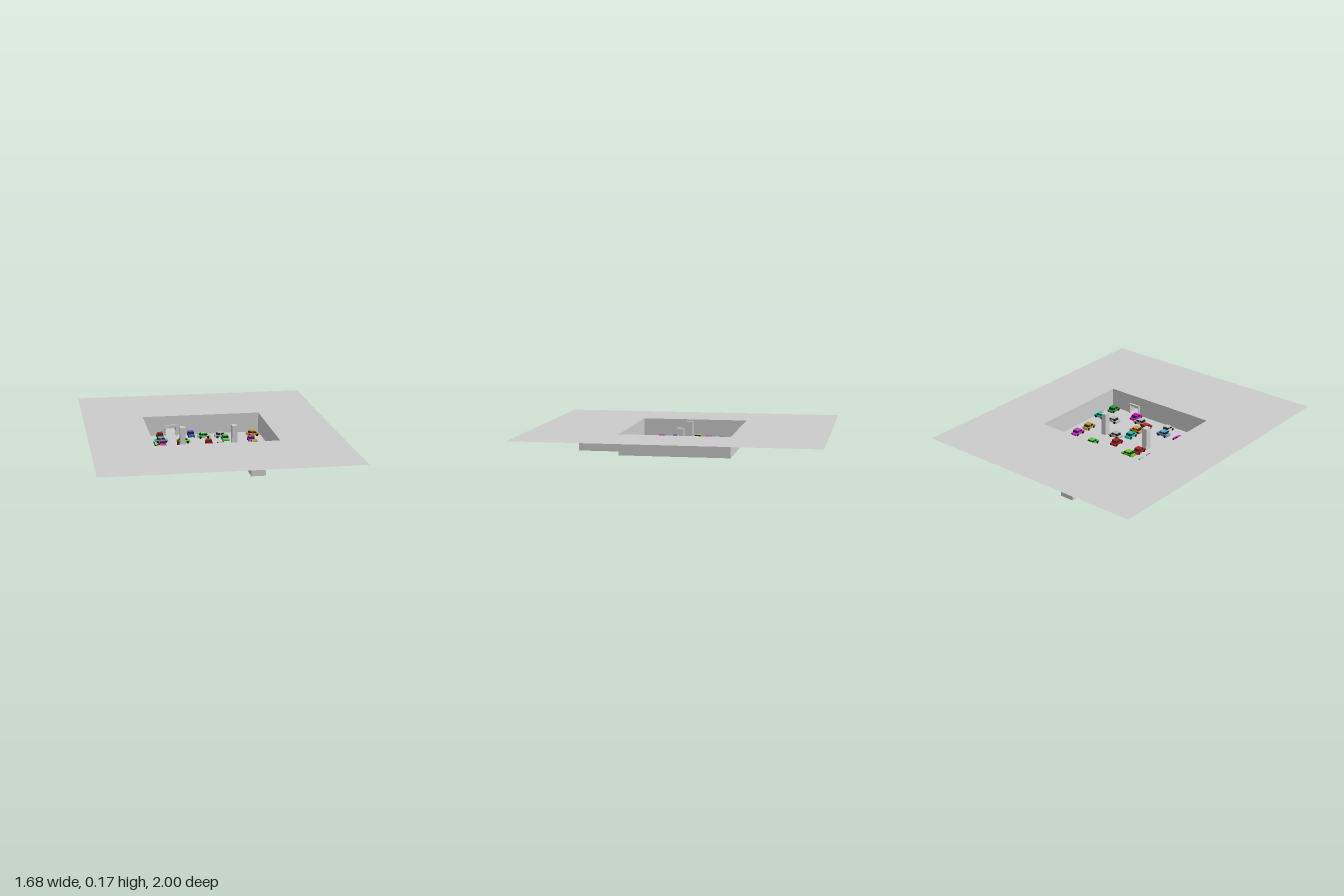
import * as THREE from 'three';

const FLOOR = 0.01, GROUND = 0.15;
const X0 = -0.42, X1 = 0.412, Z0 = -0.373, Z1 = 0.37;
const grey = new THREE.MeshStandardMaterial({ color: 0xcccccc, side: THREE.DoubleSide, flatShading: true });
const paint = (color) => new THREE.MeshStandardMaterial({ color, flatShading: true });
const glass = paint(0x1c2228), rubber = paint(0x181818);

function add(parent, name, geometry, material, x = 0, y = 0, z = 0) {
  const mesh = new THREE.Mesh(geometry, material);
  mesh.name = name;
  mesh.position.set(x, y, z);
  parent.add(mesh);
  return mesh;
}

const box = (w, h, d) => new THREE.BoxGeometry(w, h, d);

function rect(Type, x0, y0, x1, y1) {
  return new Type().setFromPoints([[x0, y0], [x1, y0], [x1, y1], [x0, y1]].map(p => new THREE.Vector2(...p)));
}

// Flat rectangle with a rectangular opening
function panel(outer, hole) {
  const shape = rect(THREE.Shape, ...outer);
  if (hole) shape.holes.push(rect(THREE.Path, ...hole));
  return new THREE.ShapeGeometry(shape);
}

// Sheet whose height grows along z, closed at the far end
function tunnelGeometry(width, length, nearHeight, farHeight) {
  const w = width / 2, points = [];
  for (const [z, h] of [[0, nearHeight], [length, farHeight]]) {
    points.push(-w, 0, z, w, 0, z, w, h, z, -w, h, z);
  }
  const index = [4, 5, 6, 4, 6, 7];
  for (let i = 0; i < 4; i++) {
    const j = (i + 1) % 4;
    index.push(i, j, j + 4, i, j + 4, i + 4);
  }
  const geometry = new THREE.BufferGeometry();
  geometry.setAttribute('position', new THREE.Float32BufferAttribute(points, 3));
  geometry.setIndex(index);
  geometry.computeVertexNormals();
  return geometry;
}

// Side profile (z, y) extruded across the car's width
function sideExtrude(profile, width) {
  const shape = new THREE.Shape(profile.map(p => new THREE.Vector2(...p)));
  const geometry = new THREE.ExtrudeGeometry(shape, { depth: width, bevelEnabled: false });
  geometry.translate(0, 0, -width / 2);
  geometry.rotateY(-Math.PI / 2);
  return geometry;
}

const bodyGeometry = sideExtrude([[-0.044, 0.006], [0.044, 0.006], [0.046, 0.013], [0.043, 0.02],
  [0.026, 0.023], [-0.03, 0.023], [-0.044, 0.021], [-0.046, 0.013]], 0.043);
const cabinGeometry = sideExtrude([[-0.033, 0.022], [0.027, 0.022], [0.015, 0.036], [-0.023, 0.036]], 0.038);
const roofGeometry = box(0.039, 0.003, 0.039);
const pillarGeometry = box(0.04, 0.015, 0.005);
const wheelGeometry = new THREE.CylinderGeometry(0.009, 0.009, 0.008, 10).rotateZ(Math.PI / 2);

function car(color, x, z, turned) {
  const group = new THREE.Group(), material = paint(color);
  group.name = 'car';
  add(group, 'carBody', bodyGeometry, material);
  add(group, 'carWindows', cabinGeometry, glass);
  add(group, 'carRoof', roofGeometry, material, 0, 0.037, -0.004);
  add(group, 'doorPillar', pillarGeometry, material, 0, 0.029, -0.004);
  for (const sx of [-1, 1]) {
    for (const sz of [-1, 1]) add(group, 'wheel', wheelGeometry, rubber, sx * 0.02, 0.009, sz * 0.027);
  }
  group.position.set(x, FLOOR, z);
  group.rotation.y = turned ? Math.PI / 2 : 0;
  return group;
}

// Doorway frame and sloping tunnel; local +z leads out of the pit
function entrance(name, length) {
  const group = new THREE.Group();
  group.name = name;
  add(group, 'tunnel', tunnelGeometry(0.094, length, 0.05, 0.077), grey);
  for (const s of [-1, 1]) add(group, 'doorJamb', box(0.008, 0.07, 0.014), grey, s * 0.04, 0.035, -0.007);
  add(group, 'doorLintel', box(0.088, 0.012, 0.014), grey, 0, 0.07, -0.007);
  return group;
}

export function createModel() {
  const model = new THREE.Group();
  model.name = 'sunkenCarPark';

  // Surrounding ground and pit floor
  const ground = add(model, 'ground', panel([-0.84, -1, 0.84, 1], [X0, -Z1, X1, -Z0]), grey, 0, GROUND, 0);
  ground.rotation.x = -Math.PI / 2;
  const floor = add(model, 'floor', panel([X0, -Z1, X1, -Z0]), grey, 0, FLOOR, 0);
  floor.rotation.x = -Math.PI / 2;

  // Pit walls, the front and back ones with a doorway
  const frontDoor = 0.207, backDoor = -0.222;
  for (const [name, z, door] of [['frontWall', Z1, frontDoor], ['backWall', Z0, backDoor]]) {
    const hole = [door - 0.038, FLOOR + 0.0005, door + 0.038, FLOOR + 0.05];
    add(model, name, panel([X0, FLOOR, X1, GROUND], hole), grey, 0, 0, z);
  }
  for (const [name, x] of [['rightWall', X0], ['leftWall', X1]]) {
    const wall = add(model, name, panel([-Z1, FLOOR, -Z0, GROUND]), grey, x, 0, 0);
    wall.rotation.y = Math.PI / 2;
  }

  // Entrance and exit
  const front = entrance('frontEntrance', 0.31);
  front.position.set(frontDoor, FLOOR, Z1);
  const back = entrance('backEntrance', 0.48);
  back.position.set(backDoor, FLOOR, Z0);
  back.rotation.y = Math.PI;
  model.add(front, back);

  // Columns
  for (const x of [-0.188, 0.171]) add(model, 'column', box(0.036, 0.16, 0.046), grey, x, 0.087, -0.002);

  // Waste bin by the right wall
  const green = paint(0x1f7a1f);
  add(model, 'bin', box(0.036, 0.07, 0.034), green, -0.402, 0.035, 0.034);
  add(model, 'binLid', box(0.04, 0.008, 0.038), green, -0.402, 0.074, 0.034);

  // Parked cars: colour, x, z, turned sideways
  const cars = [
    [0xb82418, -0.305, -0.31, 0], [0x3c50c8, -0.085, -0.315, 0], [0x7cd878, 0, -0.265, 1],
    [0xb4b4b4, 0.12, -0.26, 1], [0xc89018, 0.352, -0.27, 1], [0x30c8b8, -0.31, -0.193, 1],
    [0xd038a0, -0.312, -0.11, 0], [0x60d020, -0.16, -0.16, 1], [0xb82018, -0.188, -0.08, 0],
    [0xb81c18, 0.008, -0.08, 0], [0x50c840, 0.14, -0.18, 0], [0xc838c8, 0.315, -0.13, 0],
    [0xb89828, 0.315, -0.013, 0], [0xd0b040, -0.373, -0.03, 1], [0xb4b4b4, 0.082, 0, 1],
    [0x18c0b0, 0, 0.065, 0], [0x2c2cc0, -0.328, 0.123, 0], [0xd09830, 0.02, 0.15, 1],
    [0xc818c0, -0.3, 0.224, 1], [0x60a0d0, -0.16, 0.224, 1], [0xd02018, -0.002, 0.23, 0],
    [0xb4b4b4, 0.077, 0.267, 1], [0xc0c0c0, -0.138, 0.304, 0], [0xd008c0, 0.15, 0.31, 0],
    [0x209838, 0.357, 0.31, 0], [0xb8b8b8, 0.246, 0.173, 1], [0x30c8b8, 0.363, 0.173, 1],
  ];
  for (const entry of cars) model.add(car(...entry));
  return model;
}
